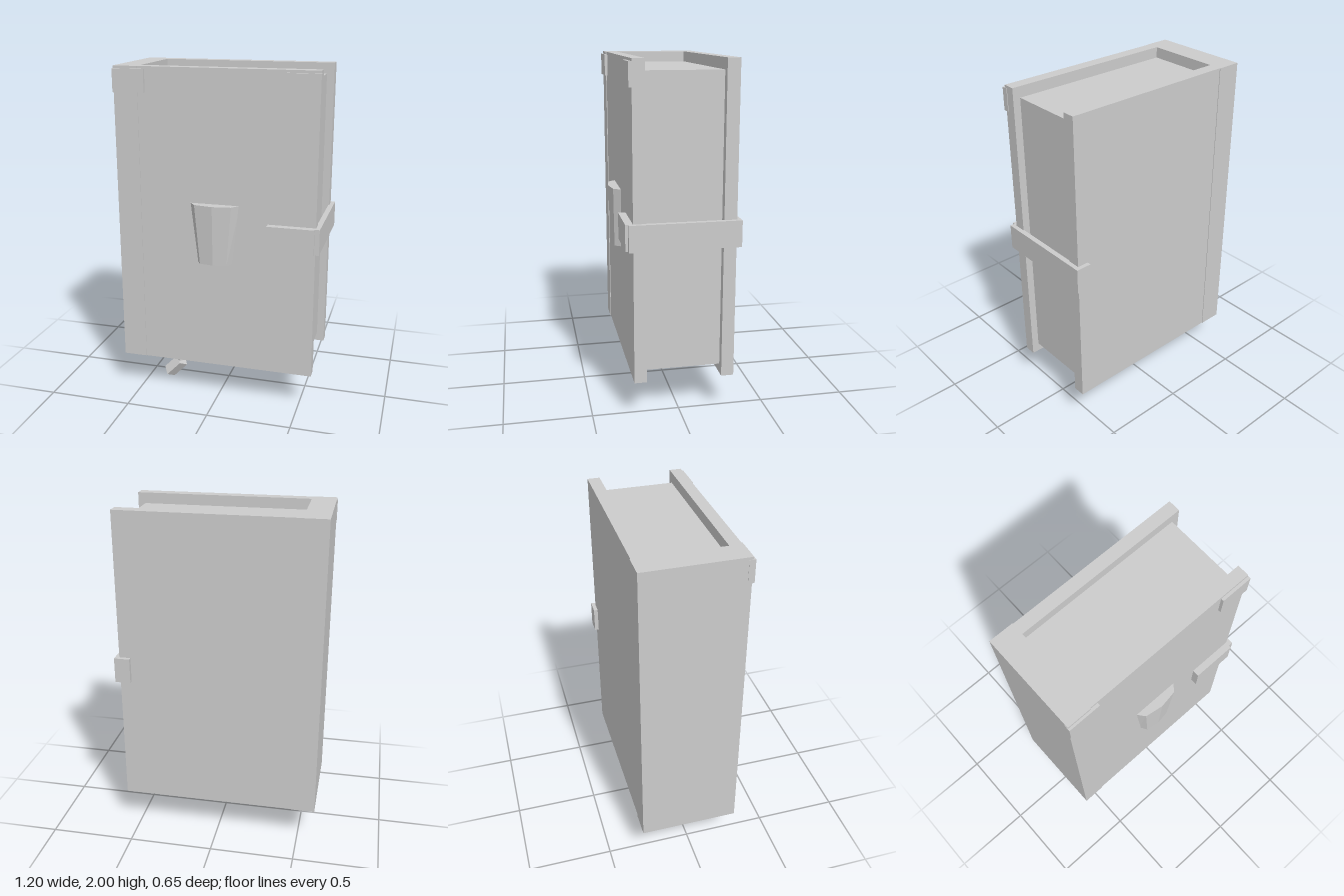
import * as THREE from 'three';

const material = new THREE.MeshStandardMaterial({ color: 0xcccccc });
material.name = 'plain grey';

// Box given by its extents on each axis
function box(name, [x0, x1], [y0, y1], [z0, z1]) {
  const geo = new THREE.BoxGeometry(x1 - x0, y1 - y0, z1 - z0);
  geo.translate((x0 + x1) / 2, (y0 + y1) / 2, (z0 + z1) / 2);
  const mesh = new THREE.Mesh(geo, material);
  mesh.name = name;
  return mesh;
}

// Capped, faceted prism between two rings of points, turning anticlockwise about the start-to-end axis
function prism(name, start, end) {
  const pos = [];
  const tri = (...pts) => pts.forEach((p) => pos.push(...p));
  const n = start.length;
  for (let i = 0; i < n; i++) {
    const j = (i + 1) % n;
    tri(start[i], start[j], end[j]);
    tri(start[i], end[j], end[i]);
    if (i > 0 && i < n - 1) {
      tri(start[0], start[j], start[i]);
      tri(end[0], end[i], end[j]);
    }
  }
  const geo = new THREE.BufferGeometry();
  geo.setAttribute('position', new THREE.Float32BufferAttribute(pos, 3));
  geo.computeVertexNormals();
  const mesh = new THREE.Mesh(geo, material);
  mesh.name = name;
  return mesh;
}

// Four-cornered ring around a centre, spanned by half-diagonals u and v
function diamond(c, u, v) {
  return [[u, 1], [v, 1], [u, -1], [v, -1]].map(([d, s]) => c.map((k, i) => k + s * d[i]));
}

export function createModel() {
  const book = new THREE.Group();
  book.name = 'book';

  // Covers, spine and page block
  const height = [0.222, 2];
  book.add(
    box('frontCover', [-0.6, 0.575], height, [0.198, 0.268]),
    box('backCover', [-0.6, 0.575], height, [-0.304, -0.232]),
    box('spine', [-0.602, -0.46], height, [-0.308, 0.272]),
    box('pages', [-0.47, 0.531], [0.277, 1.937], [-0.235, 0.2]),
  );

  // Corner plates on the front cover
  book.add(
    box('cornerPlateRight', [-0.604, -0.416], [1.855, 1.985], [0.25, 0.285]),
    box('cornerPlateLeft', [0.39, 0.578], [1.855, 1.985], [0.25, 0.285]),
  );

  // Clasp strap wrapping the open edge
  const strap = new THREE.Group();
  strap.name = 'strap';
  const band = [0.99, 1.14];
  strap.add(
    box('strapFront', [0.3, 0.572], band, [0.26, 0.31]),
    box('strapSide', [0.57, 0.6], band, [-0.328, 0.295]),
    box('strapBack', [0.508, 0.575], band, [-0.328, -0.3]),
  );
  book.add(strap);

  // Tapered, faceted emblem
  const ring = (y, xs, zs) => xs.map((x, i) => [x, y, zs[i]]);
  book.add(prism('emblem',
    ring(0.88, [-0.12, -0.093, -0.012, 0.067, 0.095], [0.26, 0.303, 0.315, 0.303, 0.26]),
    ring(1.235, [-0.162, -0.122, -0.012, 0.097, 0.136], [0.26, 0.31, 0.327, 0.31, 0.26])));

  // Bent ribbon bookmark below the pages
  const ribbon = new THREE.Group();
  ribbon.name = 'bookmark';
  const x = [0.048, 0, 0], z = [0, 0, 0.05], slant = [0.032, -0.029, 0];
  ribbon.add(
    prism('bookmarkUpper', diamond([-0.297, 0.29, 0.052], x, z), diamond([-0.297, 0.128, 0.068], x, z)),
    prism('bookmarkLower', diamond([-0.295, 0.115, 0.072], slant, z), diamond([-0.376, 0.034, 0.089], slant, z)),
  );
  book.add(ribbon);

  return book;
}
